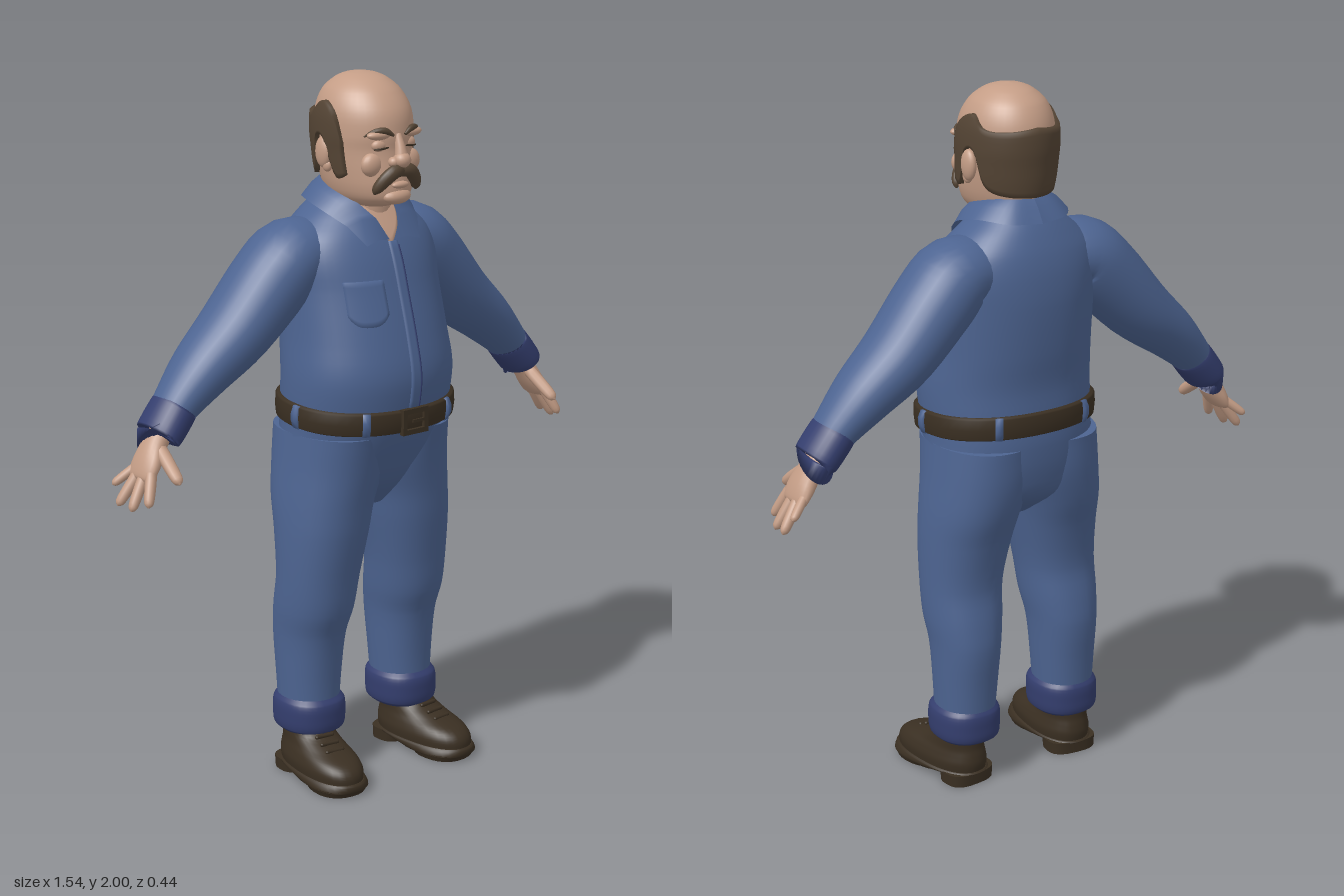
import * as THREE from 'three';

const V = (x, y, z) => new THREE.Vector3(x, y, z);
const mat = (name, color) => Object.assign(new THREE.MeshStandardMaterial({ color }), { name });

// smooth interpolation of number rows at key k
function sample(rows, keys, k) {
  const n = rows.length;
  let i = 0;
  while (i < n - 2 && k > keys[i + 1]) i++;
  const h = keys[i + 1] - keys[i], t = Math.min(1, Math.max(0, (k - keys[i]) / h));
  const slope = (j, c) => {
    const a = Math.max(0, j - 1), b = Math.min(n - 1, j + 1);
    return (rows[b][c] - rows[a][c]) / (keys[b] - keys[a]);
  };
  return rows[i].map((p, c) => {
    const q = rows[i + 1][c], t2 = t * t, t3 = t2 * t;
    return p * (2 * t3 - 3 * t2 + 1) + q * (3 * t2 - 2 * t3)
      + h * (slope(i, c) * (t3 - 2 * t2 + t) + slope(i + 1, c) * (t3 - t2));
  });
}

// skin over rows of points; closed rows wrap around and get end caps
function grid(rows, closed) {
  const pos = [], idx = [], m = rows[0].length, n = rows.length;
  rows.forEach(r => r.forEach(p => pos.push(p.x, p.y, p.z)));
  for (let i = 0; i < n - 1; i++) for (let j = 0; j < (closed ? m : m - 1); j++) {
    const a = i * m + j, b = i * m + (j + 1) % m;
    idx.push(a, b, b + m, a, b + m, a + m);
  }
  if (closed) [0, n - 1].forEach(i => {
    const base = pos.length / 3, c = V(0, 0, 0);
    rows[i].forEach(p => { pos.push(p.x, p.y, p.z); c.addScaledVector(p, 1 / m); });
    pos.push(c.x, c.y, c.z);
    for (let j = 0; j < m; j++) {
      const a = base + j, b = base + (j + 1) % m;
      if (i) idx.push(a, b, base + m); else idx.push(b, a, base + m);
    }
  });
  const g = new THREE.BufferGeometry();
  g.setAttribute('position', new THREE.Float32BufferAttribute(pos, 3));
  g.setIndex(idx);
  g.computeVertexNormals();
  return g;
}

// body surface from rows [y, xMin, xMax, zBack, zFront]; angle 0 is the front
function surface(rows, e = 2) {
  const keys = rows.map(r => r[0]);
  const pw = s => Math.sign(s) * Math.abs(s) ** (2 / e);
  const f = (a, y, off = 0) => {
    const [, x0, x1, z0, z1] = sample(rows, keys, y), s = Math.sin(a), c = Math.cos(a);
    return V((x0 + x1) / 2 + pw(s) * (x1 - x0) / 2 + off * s, y, (z0 + z1) / 2 + pw(c) * (z1 - z0) / 2 + off * c);
  };
  f.keys = keys;
  return f;
}
function loft(f, seg = 40, sub = 4) {
  const ys = f.keys.slice(0, -1).flatMap((k, i) =>
    Array.from({ length: sub }, (_, s) => k + (f.keys[i + 1] - k) * s / sub));
  ys.push(f.keys.at(-1));
  return grid(ys.map(y => Array.from({ length: seg }, (_, j) => f(j / seg * Math.PI * 2, y))), true);
}
// raised patch lying on a surface, edges sunk into it
function patch(f, a0, a1, lo, hi, off, nu = 16, nv = 10) {
  const cl = (i, n) => Math.min(1, Math.max(0, (i - 1) / (n - 2)));
  return grid(Array.from({ length: nv + 1 }, (_, i) => Array.from({ length: nu + 1 }, (_, j) => {
    const a = a0 + (a1 - a0) * cl(j, nu), y = lo(a) + (hi(a) - lo(a)) * cl(i, nv);
    return f(a, y, i % nv && j % nu ? off : -0.004);
  })), false);
}
// tube through sections [x, y, z, radius, radius along z]
function limb(secs, seg = 20, sub = 4) {
  const keys = secs.map((_, i) => i), n = (secs.length - 1) * sub;
  const at = k => sample(secs, keys, k);
  return grid(Array.from({ length: n + 1 }, (_, i) => {
    const k = i / sub, s = at(k), c = V(...s.slice(0, 3));
    const t = V(...at(Math.min(k + 0.1, n / sub))).sub(V(...at(Math.max(k - 0.1, 0)))).normalize();
    const v = V(0, 0, 1).addScaledVector(t, -t.z).normalize(), u = v.clone().cross(t);
    return Array.from({ length: seg }, (_, j) => {
      const a = j / seg * Math.PI * 2;
      return c.clone().addScaledVector(u, Math.max(0.001, s[3]) * Math.cos(a)).addScaledVector(v, Math.max(0.001, s[4]) * Math.sin(a));
    });
  }), true);
}
const ball = (x, y, z, rx, ry, rz) => new THREE.SphereGeometry(1, 20, 14).scale(rx, ry, rz).translate(x, y, z);
function mirrored(g) {
  const m = g.clone().scale(-1, 1, 1), ix = m.index.array;
  for (let i = 0; i < ix.length; i += 3) [ix[i], ix[i + 1]] = [ix[i + 1], ix[i]];
  m.computeVertexNormals();
  return m;
}

export function createModel() {
  const root = new THREE.Group();
  root.name = 'workman';
  const skin = mat('skin', 0xc49d86), denim = mat('denim', 0x4d6491), navy = mat('navyCuff', 0x343e6e);
  const leather = mat('leather', 0x3a2f22), hairMat = mat('hair', 0x544434);
  const collarMat = mat('collarDenim', 0x4d6491);
  collarMat.side = THREE.DoubleSide;
  const add = (name, g, m) => {
    const mesh = new THREE.Mesh(g, m);
    mesh.name = name;
    root.add(mesh);
  };
  const both = (name, g, m) => { add(name + 'Left', g, m); add(name + 'Right', mirrored(g), m); };
  const sym = r => [r[0], -r[1], r[1], r[2], r[3]];

  // shirt
  const torso = surface([[1.03, .238, -.2, .185], [1.1, .246, -.205, .203], [1.19, .248, -.203, .213], [1.29, .24, -.215, .193],
    [1.42, .236, -.223, .155], [1.5, .238, -.218, .13], [1.56, .22, -.205, .104], [1.61, .17, -.185, .075],
    [1.65, .12, -.163, .05], [1.68, .09, -.14, .03]].map(sym), 2.2);
  add('shirt', loft(torso, 48), denim);
  add('placket', patch(torso, -.03, .07, () => 1.1, () => 1.55, .005, 6, 24), denim);
  add('placketSeam', patch(torso, .058, .072, () => 1.1, () => 1.54, .0065, 4, 24), navy);
  add('chestPocket', patch(torso, -.72, -.2, a => 1.335 + .03 * Math.abs((a + .46) / .26) ** 3, () => 1.455, .006), denim);
  add('openNeck', patch(torso, -.42, .42, a => 1.545 + Math.abs(a) * .26, () => 1.66, .004, 24), skin);

  // collar with pointed flaps
  const inner = [[.008, 1.555, .115], [.042, 1.615, .098], [.085, 1.67, .04], [.092, 1.7, -.06], [.06, 1.707, -.125], [0, 1.705, -.145]];
  const outer = [[.092, 1.548, .122], [.122, 1.598, .075], [.15, 1.635, 0], [.142, 1.655, -.09], [.09, 1.65, -.165], [0, 1.645, -.187]];
  const lines = [inner, outer].map(l => [V(...l[0]), ...new THREE.CatmullRomCurve3(l.slice(1).map(p => V(...p))).getPoints(20)]);
  const mid = lines[0].map((p, i) => p.clone().lerp(lines[1][i], .5).add(V(0, .008, .002)));
  both('collar', grid([lines[1], mid, lines[0]], false), collarMat);

  // sleeves, cuffs and hands
  both('sleeve', limb([[.1, 1.5, -.065, .09, .1], [.2, 1.51, -.068, .102, .122], [.27, 1.45, -.073, .107, .125], [.39, 1.325, -.08, .095, .118],
    [.5, 1.235, -.08, .078, .1], [.58, 1.16, -.078, .06, .078], [.62, 1.115, -.076, .05, .068]], 28), denim);
  both('sleeveCuff', limb([[.592, 1.147, -.077, .05, .07], [.598, 1.14, -.077, .057, .078], [.645, 1.082, -.075, .055, .079], [.65, 1.076, -.075, .046, .07]], 28), navy);
  both('palm', limb([[.63, 1.1, -.075, .032, .042], [.662, 1.055, -.075, .03, .042], [.69, 1.01, -.07, .027, .054], [.71, .975, -.07, .019, .053], [.716, .965, -.07, .008, .04]]), skin);
  const finger = (b, t, r) => {
    const p = k => b.map((v, i) => v + (t[i] - v) * k);
    return limb([[...p(0), r, r], [...p(.5), r * .98, r * .98], [...p(.88), r * .8, r * .8], [...p(1), .002, .002]], 10, 3);
  };
  [[[.703, .99, -.03], [.738, .91, .005]], [[.708, .98, -.058], [.76, .892, -.045]],
    [[.71, .98, -.085], [.767, .897, -.1]], [[.705, .99, -.108], [.757, .945, -.138]]]
    .forEach(([b, t], i) => both('finger' + (i + 1), finger(b, t, i === 3 ? .013 : .0155), skin));
  both('thumb', finger([.662, 1.045, -.045], [.672, .975, .058], .0185), skin);

  // trousers
  add('trouserSeat', loft(surface([[.79, .05, -.09, .05], [.86, .19, -.175, .108], [.93, .244, -.2, .146], [1.02, .245, -.21, .182], [1.08, .245, -.208, .198]].map(sym), 2.2), 44), denim);
  both('trouserLeg', loft(surface([[.18, .09, .25, -.14, .04], [.3, .08, .256, -.148, .045], [.42, .07, .262, -.158, .06], [.5, .057, .27, -.15, .086],
    [.6, .045, .272, -.135, .1], [.73, .02, .271, -.155, .12], [.82, .002, .266, -.182, .13], [.92, -.03, .255, -.2, .146], [1.02, -.03, .245, -.205, .165]], 2.2), 32), denim);
  both('trouserCuff', loft(surface([[.13, .09, .25, -.135, .04], [.142, .078, .262, -.15, .054], [.18, .074, .266, -.153, .058], [.218, .076, .263, -.151, .055], [.235, .09, .25, -.14, .04]], 2.3), 32), navy);

  // belt, slightly higher at the back, with loops and buckle
  const tilt = g => {
    const p = g.attributes.position;
    for (let i = 0; i < p.count; i++) p.setY(i, p.getY(i) - .06 * p.getZ(i));
    g.computeVertexNormals();
    return g;
  };
  const belt = surface([[1.045, .25, -.207, .2], [1.05, .258, -.216, .21], [1.105, .259, -.217, .214], [1.112, .248, -.207, .203]].map(sym), 2.2);
  add('belt', tilt(loft(belt, 48, 2)), leather);
  [.55, 1.5, 2.6].forEach((a, i) => both('beltLoop' + (i + 1), tilt(patch(belt, a - .045, a + .045, () => 1.046, () => 1.11, .007, 4, 5)), denim));
  const frame = new THREE.Shape([[-.044, -.036], [.044, -.036], [.044, .036], [-.044, .036]].map(p => new THREE.Vector2(...p)));
  frame.holes.push(new THREE.Path([[-.03, -.022], [-.03, .022], [.03, .022], [.03, -.022]].map(p => new THREE.Vector2(...p))));
  add('buckle', new THREE.ExtrudeGeometry(frame, { depth: .016, bevelEnabled: false }).translate(0, 1.066, .205), leather);
  add('bucklePin', new THREE.BoxGeometry(.04, .008, .008).translate(.012, 1.066, .216), leather);

  // boots, toes turned out
  const place = g => g.rotateY(.1).translate(.187, 0, 0);
  both('bootSole', place(loft(surface([[.012, .08, -.03, .207], [.017, .086, -.03, .213], [.032, .087, -.132, .214], [.038, .081, -.126, .208]].map(sym), 2.4), 32, 2)), leather);
  both('bootHeel', place(loft(surface([[0, .074, -.128, -.02], [.035, .076, -.13, -.015]].map(sym), 2.8), 24, 1)), leather);
  both('bootToeTread', place(loft(surface([[0, .075, .03, .2], [.02, .084, .01, .212]].map(sym), 2.3), 24, 1)), leather);
  both('bootUpper', place(loft(surface([[.03, .08, -.125, .206], [.06, .083, -.13, .203], [.084, .077, -.127, .178], [.105, .069, -.122, .115], [.13, .065, -.12, .055], [.17, .06, -.115, .03]].map(sym), 2.3), 32)), leather);
  for (let i = 0; i < 3; i++) both('bootLace' + (i + 1), place(new THREE.CapsuleGeometry(.006, .05, 4, 8).rotateZ(Math.PI / 2).translate(0, .106 + i * .013, .108 - i * .027)), leather);

  // head and neck
  add('neck', loft(surface([[1.55, .08, -.12, .07], [1.62, .08, -.12, .072], [1.72, .085, -.12, .075]].map(sym)), 28), skin);
  const head = surface([[1.642, .055, -.09, .085], [1.658, .085, -.118, .135], [1.69, .105, -.138, .15], [1.74, .116, -.15, .147], [1.8, .122, -.156, .14],
    [1.84, .125, -.16, .143], [1.9, .121, -.156, .134], [1.95, .101, -.133, .1], [1.98, .069, -.098, .06], [1.994, .039, -.064, .022], [2, .003, -.024, -.018]].map(sym));
  add('head', loft(head, 44), skin);
  both('ear', ball(.128, 1.79, -.022, .017, .043, .029).applyMatrix4(new THREE.Matrix4()), skin);
  both('earLobe', ball(.124, 1.755, -.01, .012, .018, .016), skin);

  // hair fringe round the back, cut out around the ears
  const edge = pts => a => sample(pts.map(p => [p[1]]), pts.map(p => p[0]), a > Math.PI ? 2 * Math.PI - a : a)[0];
  const hairLow = edge([[1.18, 1.735], [1.4, 1.728], [1.5, 1.78], [1.6, 1.83], [1.85, 1.83], [1.98, 1.76], [2.12, 1.73], [2.5, 1.715], [3.15, 1.71]]);
  const hairTop = edge([[1.18, 1.82], [1.3, 1.885], [1.5, 1.92], [1.72, 1.927], [2, 1.895], [2.4, 1.89], [3.15, 1.9]]);
  add('hair', patch(head, 1.18, 2 * Math.PI - 1.18, hairLow, hairTop, .013, 80, 14), hairMat);

  // face
  add('noseBridge', limb([[0, 1.845, .135, .01, .012], [0, 1.81, .148, .014, .015], [0, 1.78, .155, .02, .018]].reverse(), 16), skin);
  add('noseTip', ball(0, 1.778, .156, .024, .022, .024), skin);
  both('nostril', ball(.021, 1.773, .146, .015, .014, .016), skin);
  both('cheek', ball(.062, 1.765, .107, .036, .034, .024), skin);
  both('browRidge', ball(.05, 1.846, .123, .042, .014, .02), skin);
  both('eyelid', ball(.048, 1.817, .118, .025, .018, .017), skin);
  both('eyeLine', limb([[.025, 1.812, .133, .002, .002], [.048, 1.81, .1365, .003, .003], [.072, 1.808, .126, .002, .002]], 8), leather);
  both('eyebrow', limb([[.02, 1.844, .145, .004, .004], [.045, 1.858, .14, .009, .008], [.072, 1.856, .125, .007, .007], [.09, 1.842, .105, .002, .002]], 12), hairMat);
  both('moustache', limb([[-.004, 1.75, .152, .017, .014], [.025, 1.748, .156, .019, .017], [.05, 1.727, .146, .019, .017], [.067, 1.702, .132, .014, .014], [.072, 1.688, .126, .003, .004]], 16), hairMat);
  add('lowerLip', ball(0, 1.71, .149, .028, .01, .012), skin);
  add('chin', ball(0, 1.677, .134, .045, .022, .026), skin);
  return root;
}
